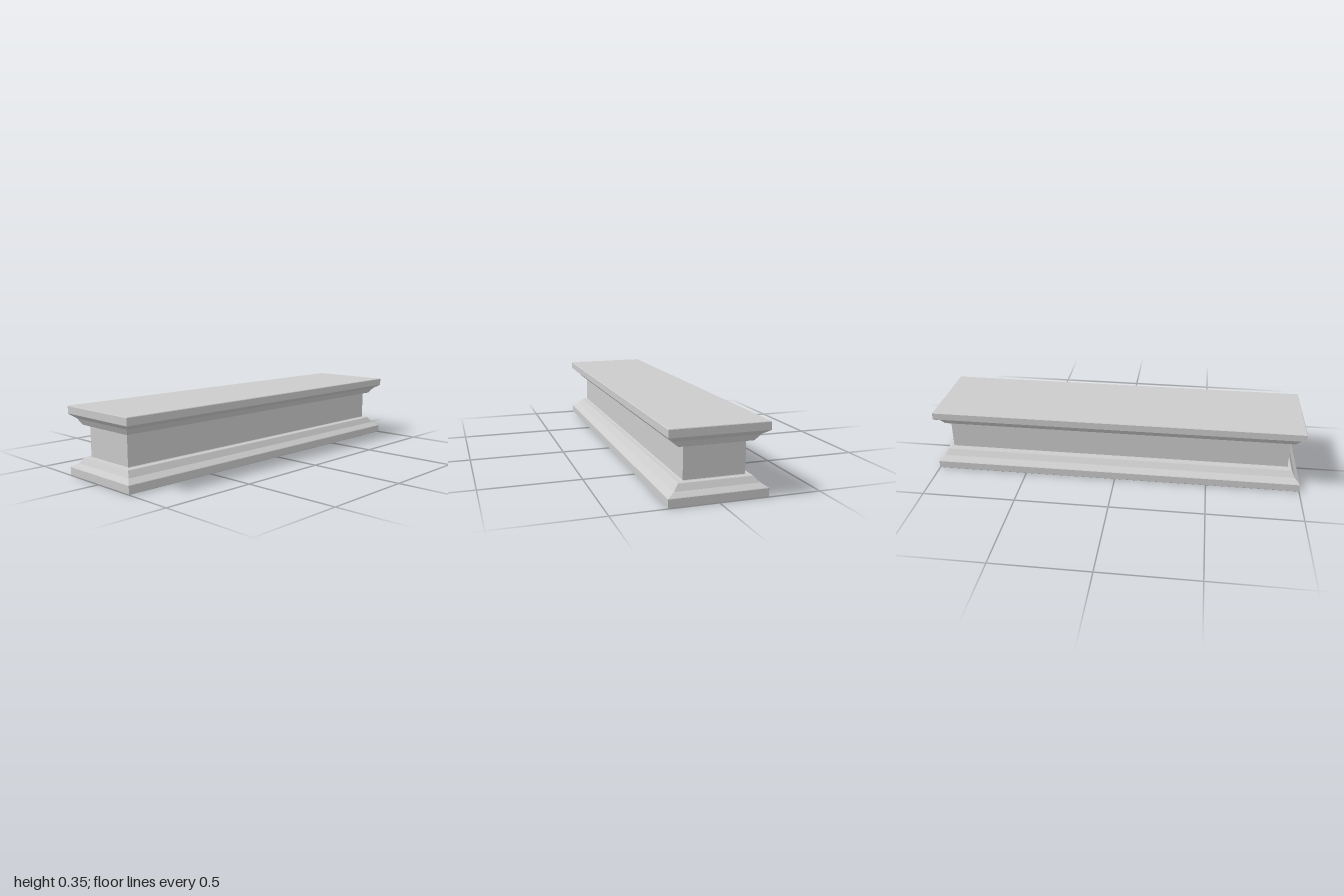
import * as THREE from 'three';

const HALF_X = 0.24, HALF_Z = 1;
const Z_RATIO = 0.71; // the moulding steps in less at the ends than along the sides

// Stacks rectangular rings, given as [inset, y] from bottom to top, into a closed solid.
function mouldedBlock(name, profile, material) {
  const rings = profile.map(([inset, y]) => {
    const x = HALF_X - inset, z = HALF_Z - inset * Z_RATIO;
    return [[x, y, z], [x, y, -z], [-x, y, -z], [-x, y, z]];
  });
  const positions = [];
  const quad = (a, b, c, d) => positions.push(...a, ...b, ...c, ...a, ...c, ...d);

  for (let r = 0; r < rings.length - 1; r++) {
    const low = rings[r], high = rings[r + 1];
    for (let i = 0; i < 4; i++) {
      const j = (i + 1) % 4;
      quad(low[i], low[j], high[j], high[i]);
    }
  }
  quad(...rings[rings.length - 1]);
  quad(...[...rings[0]].reverse());

  const geometry = new THREE.BufferGeometry();
  geometry.setAttribute('position', new THREE.Float32BufferAttribute(positions, 3));
  geometry.computeVertexNormals();
  const mesh = new THREE.Mesh(geometry, material);
  mesh.name = name;
  return mesh;
}

export function createModel() {
  const group = new THREE.Group();
  group.name = 'mouldedBeam';
  const material = new THREE.MeshStandardMaterial({ color: 0xcccccc, flatShading: true });

  // Plinth: upright foot, then two slopes up to a flat ledge
  group.add(mouldedBlock('plinth', [
    [0.003, 0], [0, 0.003], [0, 0.042], [0.003, 0.045],
    [0.036, 0.064], [0.059, 0.093], [0.062, 0.095], [0.086, 0.096], [0.09, 0.099],
  ], material));

  // Plain core between the mouldings
  group.add(mouldedBlock('core', [[0.09, 0.099], [0.09, 0.251]], material));

  // Cornice: slopes out to a flat slab with eased edges
  group.add(mouldedBlock('cornice', [
    [0.09, 0.251], [0.086, 0.254], [0.062, 0.257], [0.059, 0.259],
    [0.036, 0.288], [0.003, 0.308], [0, 0.311], [0, 0.347], [0.003, 0.35],
  ], material));

  return group;
}
